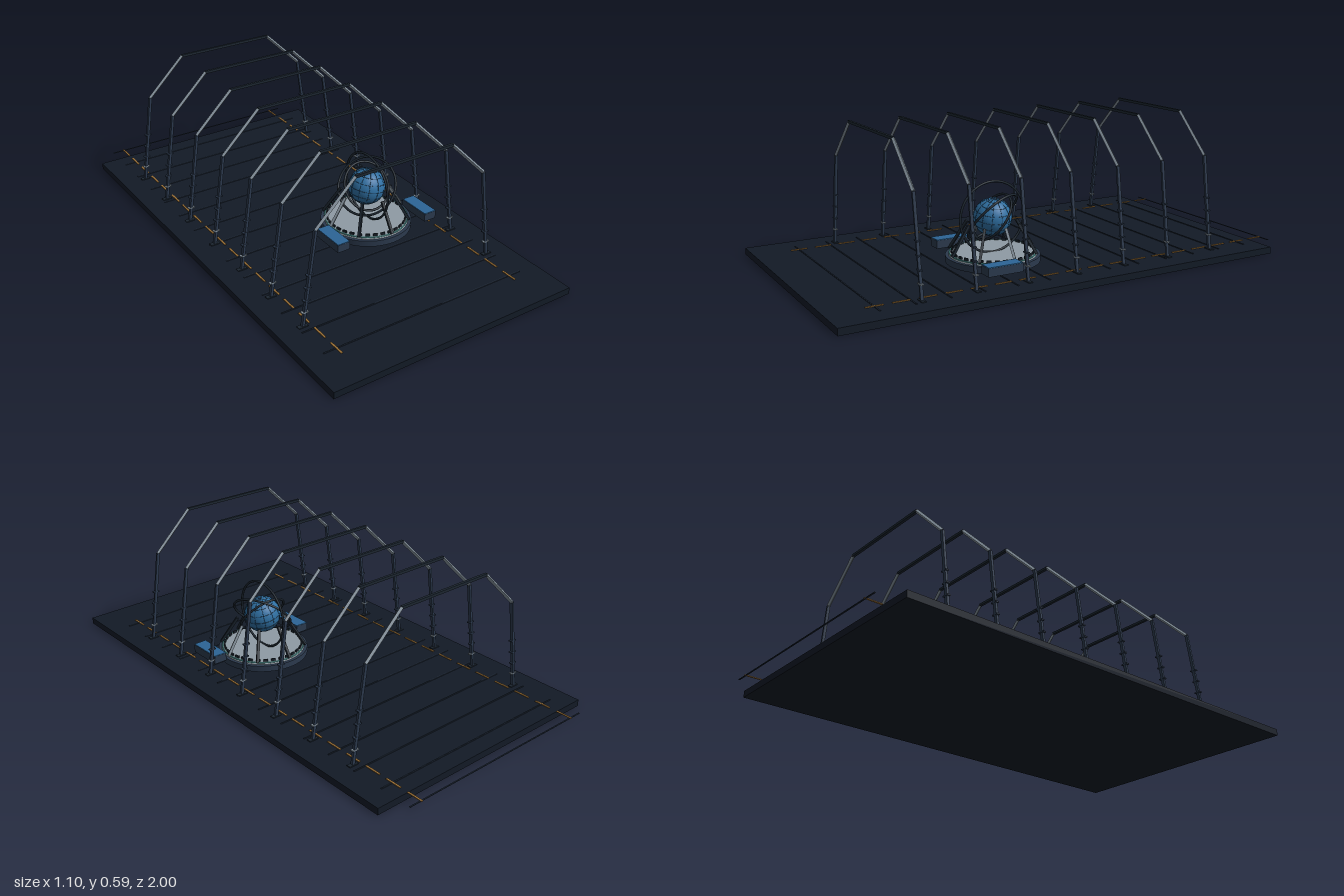
import * as THREE from 'three';

const mat = (color) => new THREE.MeshStandardMaterial({ color });
const M = {
  floor: mat(0x121a26), seam: mat(0x1d2735), navy: mat(0x2b394d), dark: mat(0x1c2630),
  steel: mat(0x85929d), plate: mat(0x8f9ba4), amber: mat(0x9a6f35), blue: mat(0x2c6596),
  globe: mat(0x2f70a3), line: mat(0x1b3f5e), teal: mat(0x4fa39f),
};
const V = (x, y, z) => new THREE.Vector3(x, y, z);

function add(parent, name, geometry, material, x = 0, y = 0, z = 0) {
  const mesh = new THREE.Mesh(geometry, material);
  mesh.name = name;
  mesh.position.set(x, y, z);
  parent.add(mesh);
  return mesh;
}
const box = (p, name, m, w, h, d, x, y, z) => add(p, name, new THREE.BoxGeometry(w, h, d), m, x, y, z);

// Square bar between two points
function bar(parent, name, a, b, w, material) {
  const mesh = box(parent, name, material, w, w, a.distanceTo(b), 0, 0, 0);
  mesh.position.copy(a).add(b).multiplyScalar(0.5);
  mesh.quaternion.setFromUnitVectors(V(0, 0, 1), b.clone().sub(a).normalize());
  return mesh;
}

// Ring whose axis points along the given normal
function ring(parent, name, r, tube, normal, material) {
  const mesh = add(parent, name, new THREE.TorusGeometry(r, tube, 8, 64), material);
  mesh.quaternion.setFromUnitVectors(V(0, 0, 1), normal.normalize());
  return mesh;
}

function buildDeck() {
  const g = new THREE.Group();
  g.name = 'deck';
  box(g, 'floorSlab', M.floor, 1.1, 0.028, 1.93, 0, 0.014, 0.035);
  for (let i = 0; i < 14; i++)
    box(g, 'floorSeam', M.seam, 0.93, 0.003, 0.005, 0, 0.0295, -0.995 + i * 0.139);
  // Dashed guide strips along both sides
  for (const side of [-1, 1])
    for (let i = 0; i < 18; i++)
      box(g, 'guideDash', M.amber, 0.008, 0.003, 0.07, side * 0.41, 0.03, -0.965 + i * 0.1045);
  return g;
}

function buildArch(z) {
  const g = new THREE.Group();
  g.name = 'archFrame';
  g.position.z = z;
  for (const s of [-1, 1]) {
    const foot = V(s * 0.442, 0.028, 0), knee = V(s * 0.388, 0.42, 0), shoulder = V(s * 0.22, 0.584, 0);
    bar(g, 'archLeg', foot, knee, 0.012, M.navy);
    bar(g, 'archBrace', knee, shoulder, 0.011, M.steel);
    box(g, 'footPlate', M.dark, 0.04, 0.004, 0.018, s * 0.442, 0.03, 0);
    // Studs through the leg
    for (const y of [0.09, 0.14, 0.192, 0.245]) {
      const x = s * (0.442 - (y - 0.028) * 0.138);
      box(g, 'legStud', y < 0.1 ? M.steel : M.navy, 0.028, 0.005, 0.014, x, y, 0);
    }
  }
  bar(g, 'archBeam', V(-0.222, 0.584, 0), V(0.222, 0.584, 0), 0.011, M.dark);
  return g;
}

function buildMachine() {
  const g = new THREE.Group();
  g.name = 'globeMachine';
  g.position.set(0.163, 0, 0.2);

  // Round base
  add(g, 'baseDisc', new THREE.CylinderGeometry(0.191, 0.191, 0.026, 48), M.navy, 0, 0.056, 0);
  add(g, 'basePlate', new THREE.CylinderGeometry(0.172, 0.178, 0.01, 48), M.plate, 0, 0.073, 0);
  const glow = ring(g, 'baseGlowRing', 0.174, 0.003, V(0, 1, 0), M.teal);
  glow.position.y = 0.077;
  for (let i = 0; i < 32; i++) {
    const a = (i / 32) * Math.PI * 2;
    const peg = box(g, 'basePeg', M.dark, 0.006, 0.012, 0.018, Math.cos(a) * 0.165, 0.082, Math.sin(a) * 0.165);
    peg.rotation.y = -a;
  }

  // Eight leaning struts
  for (let i = 0; i < 8; i++) {
    const c = Math.cos(i * Math.PI / 4), s = Math.sin(i * Math.PI / 4);
    bar(g, 'strut', V(c * 0.182, 0.08, s * 0.182), V(c * 0.108, 0.197, s * 0.108), 0.011, i % 4 ? M.dark : M.steel);
  }

  // Globe with grid lines, and the rings around it
  const core = new THREE.Group();
  core.name = 'globe';
  core.position.y = 0.22;
  g.add(core);
  const R = 0.077;
  add(core, 'globeBall', new THREE.SphereGeometry(R, 40, 24), M.globe);
  const grid = new THREE.Group();
  grid.name = 'globeGrid';
  grid.rotation.z = -0.2;
  core.add(grid);
  for (let i = -3; i <= 3; i++) {
    const a = i * Math.PI / 8;
    ring(grid, 'latitudeLine', R * Math.cos(a), 0.0009, V(0, 1, 0), M.line).position.y = R * Math.sin(a);
  }
  for (let i = 0; i < 6; i++)
    ring(grid, 'longitudeLine', R, 0.0009, V(Math.cos(i * Math.PI / 6), 0, Math.sin(i * Math.PI / 6)), M.line);
  ring(core, 'uprightRing', 0.144, 0.005, V(1, 0, 0), M.dark);
  ring(core, 'innerRing', 0.104, 0.005, V(0, 0.6, 0.8), M.dark);
  ring(core, 'tiltedRing', 0.126, 0.005, V(-0.68, 0.64, 0.36), M.dark);

  // Control consoles at both sides
  for (const s of [-1, 1]) {
    box(g, 'console', M.navy, 0.058, 0.034, 0.15, s * 0.221, 0.078, 0.08);
    box(g, 'consoleTop', M.blue, 0.056, 0.003, 0.148, s * 0.221, 0.0965, 0.08);
  }
  return g;
}

export function createModel() {
  const model = new THREE.Group();
  model.name = 'hangarWithGlobeMachine';
  model.add(buildDeck(), buildMachine());
  for (let i = 0; i < 7; i++) model.add(buildArch(0.642 - i * 0.221));
  return model;
}
